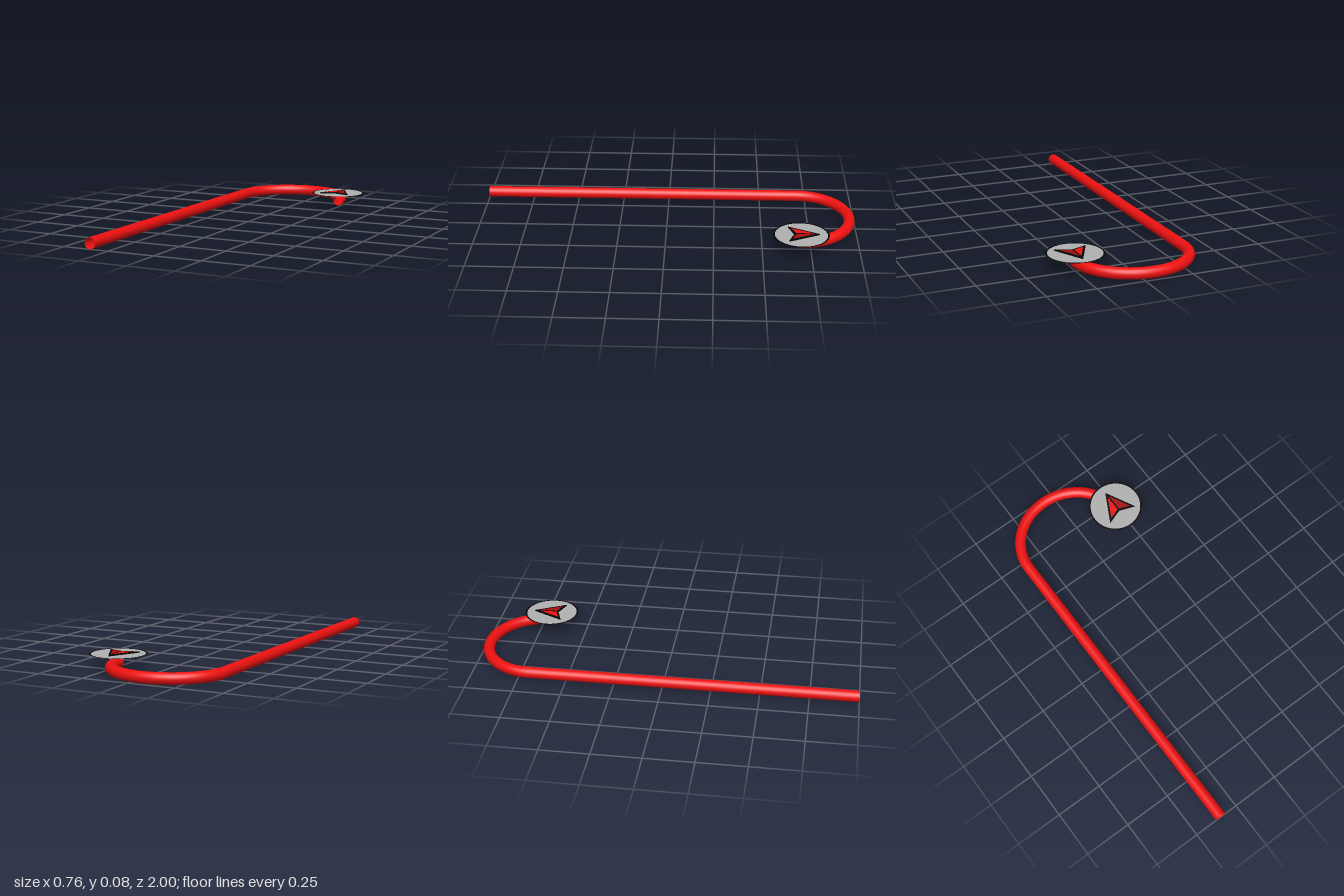
import * as THREE from 'three';

const TUBE_R = 0.029;
const START_X = -0.352, END_X = 0.23, BEND_Z = -0.70, BEND_DEPTH = 0.271;
const DISC_R = 0.145, DISC_Y = 0.073;

const paint = (color) => new THREE.MeshStandardMaterial({ color, side: THREE.DoubleSide });

// Flat shape drawn in plan (y of the shape points to the back)
function outline(points) {
  return new THREE.Shape(points.map(([x, y]) => new THREE.Vector2(x, y)));
}

export function createModel() {
  const model = new THREE.Group();
  const red = paint(0xee1111), darkRed = paint(0xa80d0d);
  const grey = paint(0xb0b0b0), black = paint(0x050505);

  const add = (parent, name, geometry, material) => {
    const mesh = new THREE.Mesh(geometry, material);
    mesh.name = name;
    parent.add(mesh);
    return mesh;
  };

  // Hollow path: straight run, then a half-turn
  const length = 1 - BEND_Z;
  const straight = add(model, 'straightTube',
    new THREE.CylinderGeometry(TUBE_R, TUBE_R, length, 32, 1, true), red);
  straight.rotation.x = Math.PI / 2;
  straight.position.set(START_X, TUBE_R, 1 - length / 2);

  const midX = (START_X + END_X) / 2, bendR = (END_X - START_X) / 2;
  class Bend extends THREE.Curve {
    getPoint(t, target = new THREE.Vector3()) {
      const a = Math.PI * (1 - t);
      return target.set(midX + bendR * Math.cos(a), TUBE_R, BEND_Z - BEND_DEPTH * Math.sin(a));
    }
  }
  add(model, 'curvedTube', new THREE.TubeGeometry(new Bend(), 48, TUBE_R, 32), red);

  // Marker floating over the end of the path
  const marker = new THREE.Group();
  marker.name = 'marker';
  marker.position.set(END_X, DISC_Y, BEND_Z);
  model.add(marker);

  const rim = DISC_R - 0.009;
  add(marker, 'disc', new THREE.CircleGeometry(rim, 64).rotateX(-Math.PI / 2), grey);
  add(marker, 'discRim', new THREE.RingGeometry(rim, DISC_R, 64).rotateX(-Math.PI / 2), black);

  // Arrow: thin black backing with two red halves on top
  const backing = outline([[0, 0.095], [-0.083, -0.066], [0, -0.036], [0.083, -0.066]]);
  add(marker, 'arrowBacking',
    new THREE.ExtrudeGeometry(backing, { depth: 0.006, bevelEnabled: false })
      .rotateX(-Math.PI / 2), black);
  for (const [side, name, material] of [[-1, 'arrowRightHalf', red], [1, 'arrowLeftHalf', darkRed]]) {
    const half = outline([[side * 0.004, 0.067], [side * 0.062, -0.048], [side * 0.004, -0.026]]);
    const mesh = add(marker, name, new THREE.ShapeGeometry(half).rotateX(-Math.PI / 2), material);
    mesh.position.y = 0.007;
  }
  return model;
}
